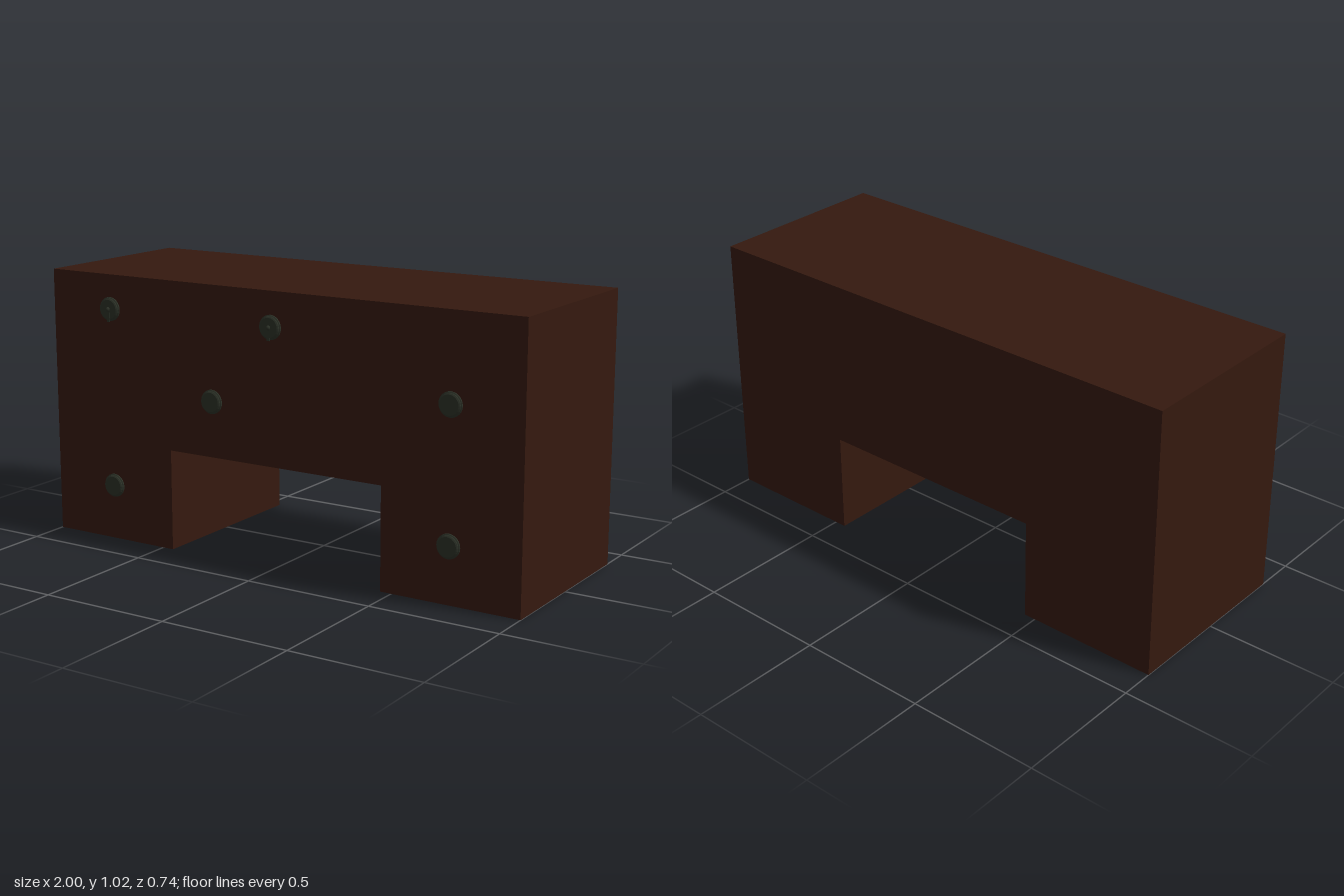
import * as THREE from 'three';

const BACK = -0.371, FRONT = 0.347;
const wood = new THREE.MeshStandardMaterial({ color: 0x35190f });
const metal = new THREE.MeshStandardMaterial({ color: 0x2b3026 });

function add(parent, name, geometry, material, x = 0, y = 0, z = 0) {
  const mesh = new THREE.Mesh(geometry, material);
  mesh.name = name;
  mesh.position.set(x, y, z);
  parent.add(mesh);
  return mesh;
}

// Round knob: wide flange, narrow groove and bevelled cap, turned to face +z
function makeKnob() {
  const profile = [[0, 0], [0.037, 0], [0.037, 0.003], [0.045, 0.003], [0.045, 0.008],
    [0.041, 0.010], [0.041, 0.014], [0.036, 0.017], [0, 0.017]]
    .map(([r, h]) => new THREE.Vector2(r, h));
  const geometry = new THREE.LatheGeometry(profile, 24).toNonIndexed();
  geometry.computeVertexNormals();
  return geometry.rotateX(Math.PI / 2);
}

export function createModel() {
  const model = new THREE.Group();
  model.name = 'kneeholeDesk';

  // Solid body with the knee opening cut through from front to back
  const outline = new THREE.Shape([
    [-1, 0], [-0.455, 0], [-0.455, 0.385], [0.455, 0.385],
    [0.455, 0], [1, 0], [1, 1.025], [-1, 1.025],
  ].map(([x, y]) => new THREE.Vector2(x, y)));
  const body = new THREE.ExtrudeGeometry(outline, { depth: FRONT - BACK, bevelEnabled: false });
  add(model, 'deskBody', body, wood, 0, 0, BACK);

  // Knobs on the front; the two upper ones carry a lock
  const knob = makeKnob();
  const places = [
    [-0.725, 0.895, true], [0, 0.895, true], [-0.26, 0.595, false],
    [0.725, 0.705, false], [-0.725, 0.212, false], [0.725, 0.212, false],
  ];
  for (const [x, y, locked] of places) {
    const handle = new THREE.Group();
    handle.name = locked ? 'lockKnob' : 'drawerKnob';
    handle.position.set(x, y, FRONT);
    add(handle, 'knob', knob, metal);
    if (locked) {
      // Central boss with a small tongue hanging below it
      const boss = new THREE.SphereGeometry(0.009, 12, 8);
      add(handle, 'lockBoss', boss, metal, 0, 0, 0.016);
      add(handle, 'lockTongue', new THREE.BoxGeometry(0.012, 0.044, 0.004), metal, 0, -0.025, 0.016);
    }
    model.add(handle);
  }
  return model;
}
